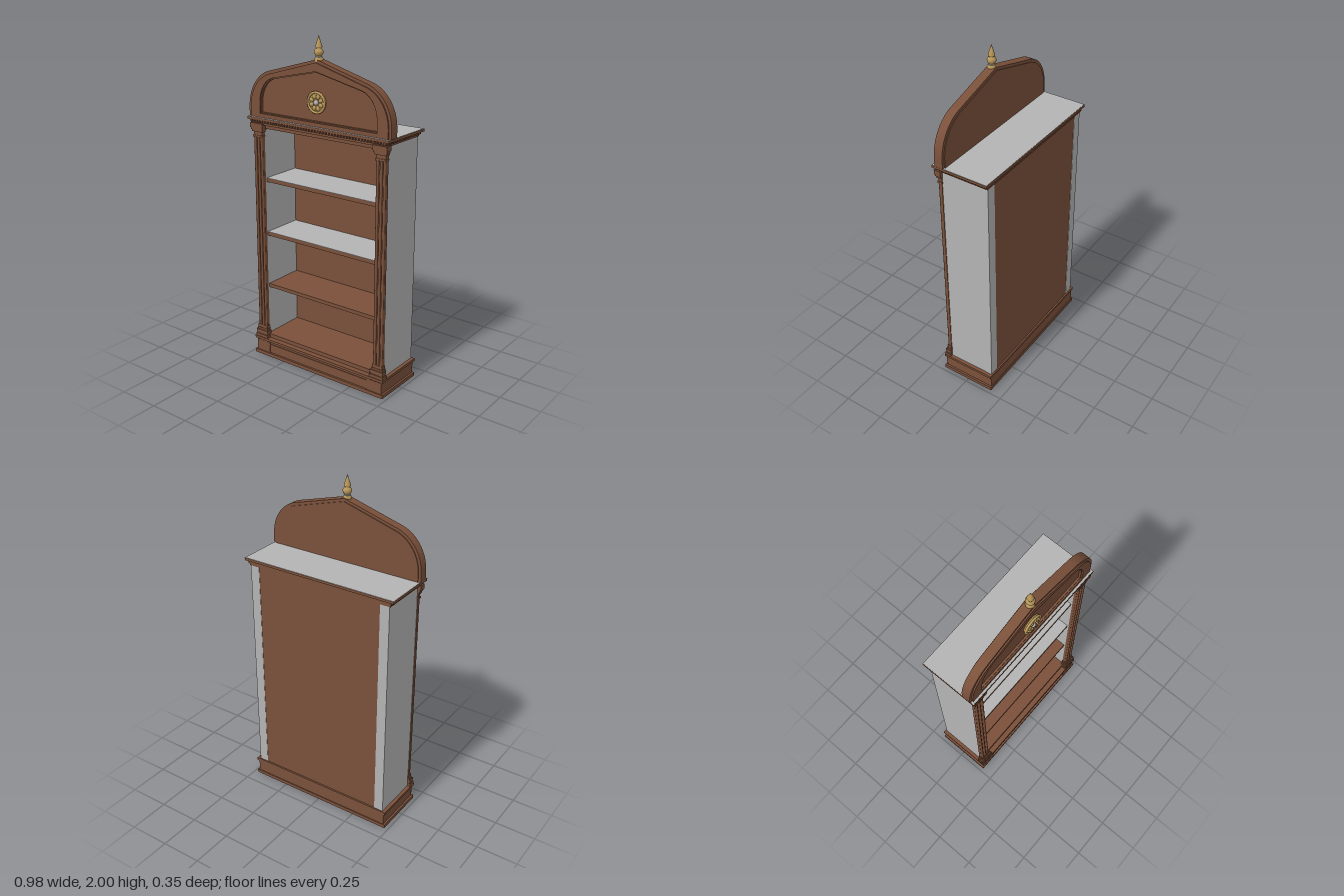
import * as THREE from 'three';
import { toCreasedNormals } from 'three/addons/utils/BufferGeometryUtils.js';

export function createModel() {
  const model = new THREE.Group();
  model.name = 'bookcase';
  const material = (name, color) => {
    const m = new THREE.MeshStandardMaterial({ color });
    m.name = name;
    return m;
  };
  const wood = material('brown wood', 0x7a503a);
  const grey = material('pale grey', 0xb4b4b4);
  const gold = material('antique gold', 0xb8975a);

  const add = (name, geometry, mat, x = 0, y = 0, z = 0, parent = model) => {
    const mesh = new THREE.Mesh(geometry, mat);
    mesh.name = name;
    mesh.position.set(x, y, z);
    parent.add(mesh);
    return mesh;
  };
  // Box given by its limits
  const box = (name, mat, x0, x1, y0, y1, z0, z1, parent = model) =>
    add(name, new THREE.BoxGeometry(x1 - x0, y1 - y0, z1 - z0), mat,
      (x0 + x1) / 2, (y0 + y1) / 2, (z0 + z1) / 2, parent);
  // Full-width layer centred on x
  const layer = (name, w, y0, y1, z0, z1, mat = wood) => box(name, mat, -w, w, y0, y1, z0, z1);

  // Plinth with its mouldings
  layer('plinthFoot', 0.477, 0, 0.022, -0.168, 0.172);
  layer('plinth', 0.465, 0.022, 0.092, -0.163, 0.16);
  layer('plinthBead', 0.47, 0.092, 0.098, -0.165, 0.165);
  layer('plinthMoulding', 0.477, 0.098, 0.114, -0.168, 0.172);
  layer('plinthPanel', 0.365, 0.04, 0.08, 0.16, 0.164);
  for (const s of [-1, 1]) {
    const block = box('plinthBlock', wood, -0.05, 0.05, 0.022, 0.092, 0.16, 0.166);
    block.position.x = s * 0.416;
  }

  // Carcass: side boards, back, floor, ceiling
  for (const s of [-1, 1]) {
    const side = box('sideBoard', grey, -0.029, 0.029, 0.114, 1.47, -0.16, 0.13);
    side.position.x = s * 0.427;
  }
  layer('backPanel', 0.398, 0.114, 1.47, -0.158, -0.14);
  layer('floorBoard', 0.398, 0.114, 0.138, -0.14, 0.14);
  layer('ceilingBoard', 0.398, 1.44, 1.47, -0.14, 0.14);

  // Shelves, the upper two with grey tops
  [0.455, 0.79, 1.125].forEach((y, i) => {
    layer('shelf', 0.398, y - 0.011, y + 0.011, -0.14, 0.12);
    if (i > 0) layer('shelfTop', 0.398, y + 0.011, y + 0.013, -0.14, 0.12, grey);
  });

  // Fluted pilasters with stepped bases and capitals
  const rod = new THREE.CylinderGeometry(0.0085, 0.0085, 1.2, 16);
  const steps = [
    [0.114, 0.132, 0.047, 0.168], [0.132, 0.142, 0.041, 0.162],
    [0.142, 0.16, 0.044, 0.166], [0.16, 0.172, 0.038, 0.16], [0.172, 0.192, 0.035, 0.157],
    [1.385, 1.397, 0.035, 0.157], [1.397, 1.418, 0.032, 0.153],
    [1.418, 1.43, 0.038, 0.16], [1.43, 1.442, 0.043, 0.164], [1.442, 1.47, 0.047, 0.168],
  ];
  for (const s of [-1, 1]) {
    const pilaster = new THREE.Group();
    pilaster.name = 'pilaster';
    pilaster.position.x = s * 0.428;
    model.add(pilaster);
    box('shaftBacking', wood, -0.032, 0.032, 0.114, 1.47, 0.13, 0.147, pilaster);
    for (const x of [-0.0225, 0, 0.0225]) add('reed', rod, wood, x, 0.787, 0.148, pilaster);
    for (const [y0, y1, w, z] of steps)
      box(y0 < 1 ? 'baseStep' : 'capitalStep', wood, -w, w, y0, y1, 0.128, z, pilaster);
  }

  // Cornice with a row of dentils
  layer('frieze', 0.462, 1.462, 1.478, -0.162, 0.157);
  layer('dentilBand', 0.468, 1.474, 1.49, -0.166, 0.16);
  const dentil = new THREE.BoxGeometry(0.011, 0.012, 0.01);
  for (let i = 0; i < 48; i++) add('dentil', dentil, wood, (i - 23.5) * 0.0198, 1.482, 0.163);
  for (const s of [-1, 1])
    for (let i = 0; i < 16; i++)
      add('sideDentil', dentil, wood, s * 0.469, 1.482, -0.155 + i * 0.0205).rotation.y = Math.PI / 2;
  layer('corniceSlab', 0.487, 1.49, 1.504, -0.174, 0.172);
  layer('corniceTop', 0.485, 1.504, 1.506, -0.172, 0.17, grey);

  // Pediment outline: upright, rounded shoulder, straight rise to a point
  const outline = (Kind, w, base, spring, shoulderX, shoulderY, apex) => {
    const p = new Kind();
    const h = shoulderY - spring;
    const cx = shoulderX + (w - shoulderX) * 0.6;
    const cy = shoulderY - h * 0.1;
    p.moveTo(-w, base);
    p.lineTo(w, base);
    p.lineTo(w, spring);
    p.bezierCurveTo(w, spring + h * 0.5, cx, cy, shoulderX, shoulderY);
    p.lineTo(0, apex);
    p.lineTo(-shoulderX, shoulderY);
    p.bezierCurveTo(-cx, cy, -w, spring + h * 0.5, -w, spring);
    p.lineTo(-w, base);
    return p;
  };
  const slab = (name, shape, z0, z1) => add(name, toCreasedNormals(
    new THREE.ExtrudeGeometry(shape, { depth: z1 - z0, bevelEnabled: false, curveSegments: 24 }), 0.4),
    wood, 0, 0, z0);
  const outer = () => outline(THREE.Shape, 0.489, 1.506, 1.55, 0.32, 1.782, 1.872);
  const front = () => outline(THREE.Shape, 0.473, 1.506, 1.55, 0.314, 1.766, 1.856);
  const opening = (grow) => outline(THREE.Path, 0.397 + grow, 1.535 - grow, 1.585,
    0.3 + grow * 0.5, 1.735 + grow, 1.802 + grow);
  const rim = outer();
  rim.holes.push(opening(0));
  slab('pedimentRim', rim, 0.098, 0.15);
  const frame = front();
  frame.holes.push(opening(0.006));
  slab('pedimentFrame', frame, 0.15, 0.158);
  slab('pedimentPanel', front(), 0.093, 0.138);

  // Rosette: ring, eight petals and a centre boss
  const rosette = new THREE.Group();
  rosette.name = 'rosette';
  rosette.position.set(0, 1.64, 0.138);
  model.add(rosette);
  const disc = add('rosetteDisc', new THREE.CylinderGeometry(0.058, 0.058, 0.014, 40), gold, 0, 0, 0.007, rosette);
  disc.rotation.x = Math.PI / 2;
  add('rosetteRing', new THREE.TorusGeometry(0.056, 0.007, 10, 48), gold, 0, 0, 0.014, rosette);
  const petal = new THREE.SphereGeometry(0.0135, 14, 10);
  for (let i = 0; i < 8; i++) {
    const a = (i + 0.5) * Math.PI / 4;
    const mesh = add('petal', petal, gold, Math.cos(a) * 0.034, Math.sin(a) * 0.034, 0.014, rosette);
    mesh.rotation.z = a;
    mesh.scale.set(1.1, 0.9, 0.8);
  }
  add('rosetteBoss', new THREE.SphereGeometry(0.015, 18, 12), grey, 0, 0, 0.014, rosette);

  // Turned finial
  const profile = [
    [0.024, 1.86], [0.024, 1.876], [0.018, 1.882], [0.014, 1.888], [0.02, 1.894], [0.025, 1.905],
    [0.025, 1.914], [0.02, 1.924], [0.013, 1.929], [0.018, 1.934], [0.019, 1.939], [0.01, 1.968], [0, 2],
  ].map(([r, y]) => new THREE.Vector2(r, y));
  add('finial', new THREE.LatheGeometry(profile, 28), gold, 0, 0, 0.127);
  add('finialCollar', new THREE.TorusGeometry(0.015, 0.004, 8, 28), grey, 0, 1.887, 0.127).rotation.x = Math.PI / 2;

  return model;
}
